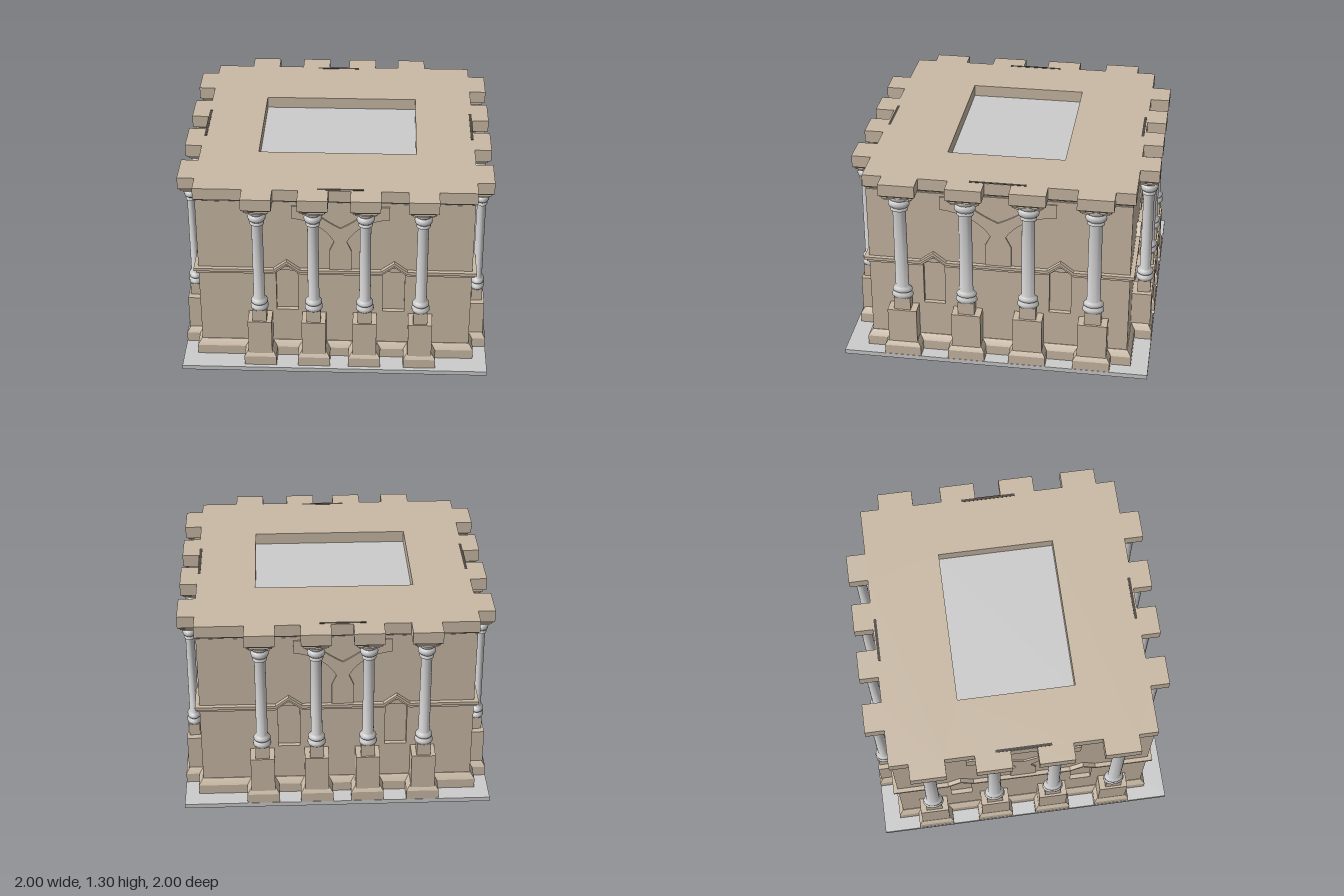
import * as THREE from 'three';
import { toCreasedNormals } from 'three/addons/utils/BufferGeometryUtils.js';

const stone = new THREE.MeshStandardMaterial({ color: 0xc9b9a5 });
const grey = new THREE.MeshStandardMaterial({ color: 0xcccccc });
const dark = new THREE.MeshStandardMaterial({ color: 0x4c463f });

const HX = 0.88, HZ = 0.843, CZ = -0.013; // wall half sizes and centre

// Front and right bays, in each facade's own coordinates; the other two repeat them
const FRONT = {
  half: HX, cols: [-0.485, -0.135, 0.195, 0.555], niches: [-0.31, 0.38], ribX: 0.035,
  ribScale: 1, slot: 0.145, pedW: 0.155, pedOut: 0.129, colZ: 0.075, sx: 1, sz: 1,
};
const SIDE = {
  half: HZ, cols: [-0.62, -0.2, 0.2, 0.62], niches: [-0.42, 0.4], ribX: 0,
  ribScale: 1.2, slot: 0.18, pedW: 0.19, pedOut: 0.1, colZ: 0.05, sx: 1.2, sz: 0.82,
};

function add(parent, name, geometry, material = stone) {
  const m = new THREE.Mesh(geometry, material);
  m.name = name;
  parent.add(m);
  return m;
}

function box(parent, name, w, y0, y1, d, x, z, material) {
  const m = add(parent, name, new THREE.BoxGeometry(w, y1 - y0, d), material);
  m.position.set(x, (y0 + y1) / 2, z);
  return m;
}

// Plan outline with a projection at every column, as [x, z]; d grows it all round
function outline(hx, hz, px, pz, wf, ws, d) {
  const half = [[-hx - d, hz + d]];
  for (const c of FRONT.cols) {
    const a = c - wf - d, b = c + wf + d;
    half.push([a, hz + d], [a, pz + d], [b, pz + d], [b, hz + d]);
  }
  half.push([hx + d, hz + d]);
  for (const c of SIDE.cols) {
    const a = -c + ws + d, b = -c - ws - d;
    half.push([hx + d, a], [px + d, a], [px + d, b], [hx + d, b]);
  }
  // side bays were listed front to back
  return [...half, ...half.map(([x, z]) => [-x, -z])];
}

// Solid moulding: the outline taken through a profile of [offset, y]
function moulding(shapeAt, profile) {
  const pos = [];
  const tri = (...p) => p.forEach((v) => pos.push(...v));
  const rings = profile.map(([d, y]) => shapeAt(d).map(([x, z]) => [x, y, z + CZ]));
  const n = rings[0].length;
  for (let k = 0; k + 1 < rings.length; k++) {
    const a = rings[k], b = rings[k + 1];
    for (let i = 0; i < n; i++) {
      const j = (i + 1) % n;
      tri(a[i], a[j], b[j]);
      tri(a[i], b[j], b[i]);
    }
  }
  const cap = (ring, up) => {
    const flat = ring.map(([x, , z]) => new THREE.Vector2(x, -z));
    for (const [i, j, k] of THREE.ShapeUtils.triangulateShape(flat, [])) {
      up ? tri(ring[i], ring[j], ring[k]) : tri(ring[i], ring[k], ring[j]);
    }
  };
  cap(rings[0], false);
  cap(rings[rings.length - 1], true);
  const g = new THREE.BufferGeometry();
  g.setAttribute('position', new THREE.Float32BufferAttribute(pos, 3));
  g.computeVertexNormals();
  return g;
}

const shapeOf = (pts) => new THREE.Shape(pts.map(([x, y]) => new THREE.Vector2(x, y)));
const extrude = (shape, depth, curveSegments = 8) =>
  new THREE.ExtrudeGeometry(shape, { depth, bevelEnabled: false, curveSegments });

// String course that rises into a gable over each niche
function band(f, y, h, depth) {
  const low = [[-f.half - depth, y]];
  for (const c of f.niches) low.push([c - 0.085, y], [c, y + 0.065], [c + 0.085, y]);
  low.push([f.half + depth, y]);
  const top = low.map(([x, v]) => [x, v + h]).reverse();
  return extrude(shapeOf([...low, ...top]), depth + 0.01).translate(0, 0, -0.01);
}

// Forked rib: a trunk that spreads into two curved branches
function forkedRib() {
  const s = new THREE.Shape();
  s.moveTo(-0.07, 0.7);
  s.lineTo(-0.07, 0.85);
  s.lineTo(-0.04, 0.92);
  s.quadraticCurveTo(-0.12, 1.07, -0.31, 1.09);
  s.lineTo(-0.31, 1.18);
  s.lineTo(-0.2, 1.18);
  s.quadraticCurveTo(-0.13, 1.09, 0, 1.02);
  s.quadraticCurveTo(0.13, 1.09, 0.2, 1.18);
  s.lineTo(0.31, 1.18);
  s.lineTo(0.31, 1.09);
  s.quadraticCurveTo(0.12, 1.07, 0.04, 0.92);
  s.lineTo(0.07, 0.85);
  s.lineTo(0.07, 0.7);
  return extrude(s, 0.02).translate(0, 0, -0.01);
}

const columnProfile = [
  [0, 0.45], [0.05, 0.45], [0.058, 0.46], [0.058, 0.475], [0.048, 0.487], [0.046, 0.492],
  [0.054, 0.5], [0.054, 0.513], [0.044, 0.525], [0.037, 0.535], [0.035, 1.09], [0.045, 1.094],
  [0.045, 1.108], [0.04, 1.113], [0.054, 1.127], [0.057, 1.142], [0.052, 1.157], [0.044, 1.165],
  [0.056, 1.178], [0.056, 1.19],
].map(([r, y]) => new THREE.Vector2(r, y));
const columnGeometry = toCreasedNormals(new THREE.LatheGeometry(columnProfile, 20), 0.9);

function facade(f, name) {
  const g = new THREE.Group();
  g.name = name;

  // Lower wall with pointed niches
  const w = f.half - (f === SIDE ? 0.01 : 0);
  const wall = shapeOf([[-w, 0.03], [w, 0.03], [w, 0.69], [-w, 0.69]]);
  for (const c of f.niches) {
    wall.holes.push(new THREE.Path([[-0.07, 0.38], [-0.07, 0.67], [-0.045, 0.689], [0.045, 0.689],
      [0.07, 0.67], [0.07, 0.38]].map(([x, y]) => new THREE.Vector2(c + x, y))));
    // Sloping hood under the gable
    const hood = new THREE.BufferGeometry();
    hood.setAttribute('position', new THREE.Float32BufferAttribute(
      [c - 0.075, 0.67, -0.028, c + 0.075, 0.67, -0.028, c, 0.735, 0.012], 3));
    hood.computeVertexNormals();
    const m = add(g, 'nicheHood', hood, stone.clone());
    m.material.side = THREE.DoubleSide;
  }
  add(g, 'lowerWall', extrude(wall, 0.03).translate(0, 0, -0.03));

  // String course in two steps
  add(g, 'stringCourseLower', band(f, 0.668, 0.022, 0.014));
  add(g, 'stringCourseUpper', band(f, 0.688, 0.02, 0.028));

  const rib = add(g, 'forkedRib', forkedRib());
  rib.position.x = f.ribX;
  rib.scale.x = f.ribScale;

  // Narrow slot in the parapet above the rib
  box(g, 'parapetSlot', f.slot * 2, 1.225, 1.302, 0.018, f.ribX, -0.001, dark);

  for (const x of f.cols) {
    box(g, 'pedestal', f.pedW, 0.03, 0.365, f.pedOut + 0.02, x, f.pedOut / 2 - 0.01);
    box(g, 'columnPlinth', 0.09 * f.sx, 0.365, 0.452, 0.085 * f.sz, x, f.colZ);
    const col = add(g, 'column', columnGeometry, grey);
    col.position.set(x, 0, f.colZ);
    col.scale.set(f.sx, 1, f.sz);
  }
  return g;
}

export function createModel() {
  const model = new THREE.Group();
  model.name = 'colonnadedBuilding';

  box(model, 'groundSlab', 2, 0, 0.03, 2, 0, 0, grey);
  box(model, 'wallCore', 2 * HX - 0.06, 0.03, 0.69, 2 * HZ - 0.06, 0, CZ);
  box(model, 'upperWall', 2 * HX, 0.69, 1.2, 2 * HZ, 0, CZ);

  // Stepped base that breaks forward under each pedestal
  const base = (d) => outline(0.91, 0.873, 0.998, 0.985, 0.105, 0.12, d);
  add(model, 'baseMoulding', moulding(base,
    [[0, 0.03], [0, 0.095], [-0.006, 0.105], [-0.016, 0.12], [-0.027, 0.135]]));

  // Entablature moulding under the parapet
  const top = (d) => outline(0.89, 0.86, 1, 0.985, 0.095, 0.115, d);
  add(model, 'entablature', moulding(top, [[-0.03, 1.18], [-0.03, 1.19], [-0.018, 1.195],
    [-0.018, 1.205], [-0.008, 1.212], [-0.008, 1.22]]));

  // Parapet ring around the sunken roof
  const ring = shapeOf(top(0).map(([x, z]) => [x, -z - CZ]));
  ring.holes.push(new THREE.Path([[-0.51, -0.37], [-0.51, 0.39], [0.51, 0.39], [0.51, -0.37]]
    .map(([x, y]) => new THREE.Vector2(x, y))));
  add(model, 'parapet', extrude(ring, 0.08).rotateX(-Math.PI / 2).translate(0, 1.22, 0));
  box(model, 'sunkenRoof', 1.02, 1.21, 1.223, 0.76, 0, -0.01, grey);

  // Four facades, opposite ones alike
  [[FRONT, 'frontFacade', HZ], [SIDE, 'rightFacade', HX],
    [FRONT, 'backFacade', HZ], [SIDE, 'leftFacade', HX]].forEach(([f, name, r], i) => {
    const g = facade(f, name);
    const a = (i * Math.PI) / 2;
    g.rotation.y = a;
    g.position.set(Math.sin(a) * r, 0, Math.cos(a) * r + CZ);
    model.add(g);
  });
  return model;
}
